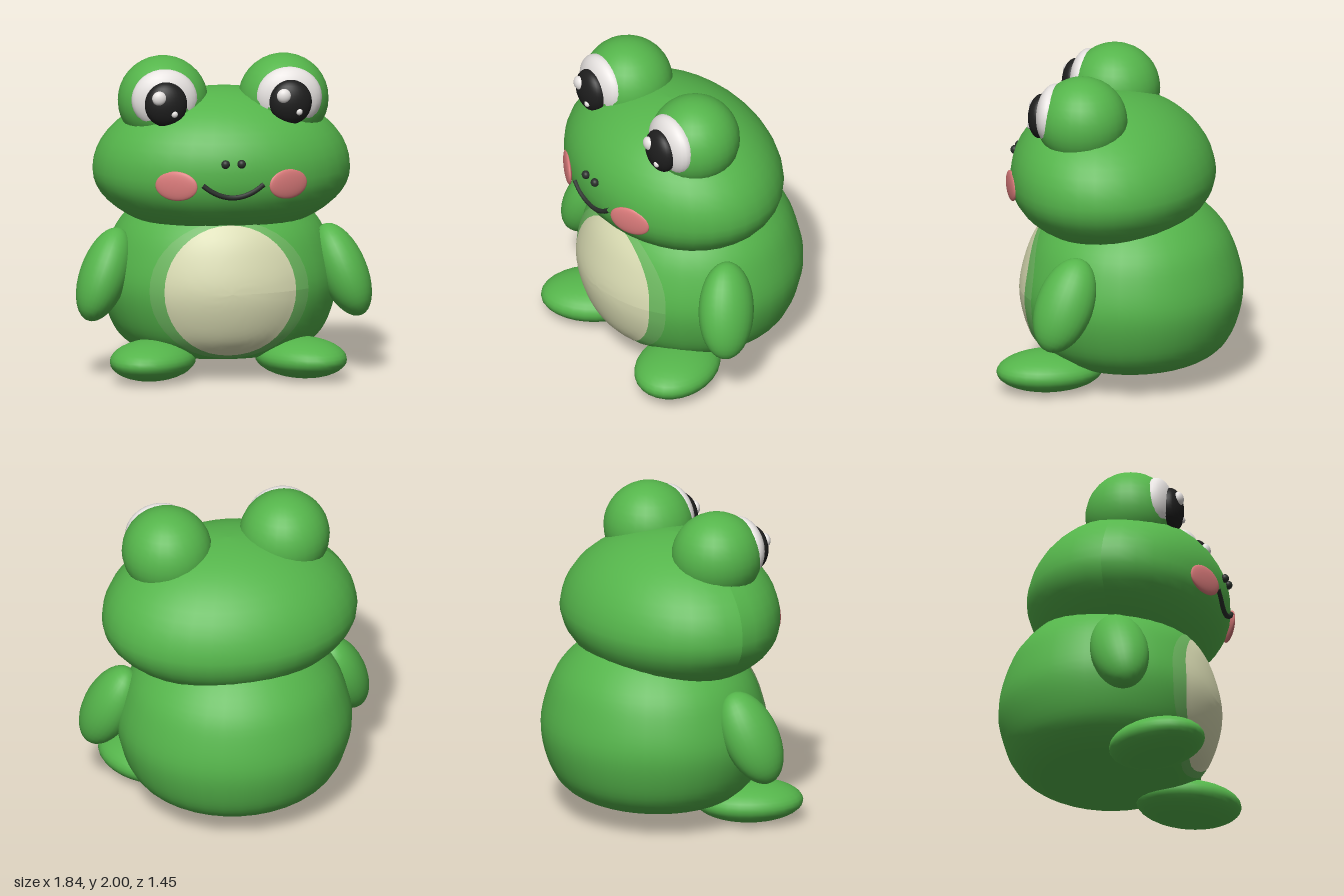
import * as THREE from 'three';

const mat = (name, color, side = THREE.FrontSide) => {
  const m = new THREE.MeshStandardMaterial({ color, side });
  m.name = name;
  return m;
};

export function createModel() {
  const green = mat('skin green', 0x55b54b);
  const paleGreen = mat('belly edge green', 0x6cb75f, THREE.DoubleSide);
  const cream = mat('belly cream', 0xd9dbb2, THREE.DoubleSide);
  const white = mat('eye white', 0xe6e2e0);
  const black = mat('pupil black', 0x1e1e1e);
  const dark = mat('mouth dark', 0x2a302b);
  const pink = mat('cheek pink', 0xdb7b7b);

  const model = new THREE.Group();
  const add = (name, geometry, material, parent = model) => {
    const mesh = new THREE.Mesh(geometry, material);
    mesh.name = name;
    parent.add(mesh);
    return mesh;
  };
  const ball = new THREE.SphereGeometry(1, 28, 18);
  const ellipsoid = (name, material, [x, y, z], [rx, ry, rz]) => {
    const mesh = add(name, ball, material);
    mesh.position.set(x, y, z);
    mesh.scale.set(rx, ry, rz);
    return mesh;
  };

  // Body: rounded pear, slightly flattened front to back
  const BODY_Z = -0.035, BODY_DEPTH = 0.94;
  const profile = new THREE.SplineCurve([
    [0, 0.11], [0.3, 0.112], [0.475, 0.135], [0.61, 0.22], [0.69, 0.365], [0.73, 0.565],
    [0.69, 0.77], [0.61, 0.94], [0.45, 1.1], [0.25, 1.2], [0, 1.23],
  ].map(([r, y]) => new THREE.Vector2(r, y))).getPoints(40);
  profile.forEach((p) => { p.x = Math.max(p.x, 0); });
  profile[0].x = profile[profile.length - 1].x = 0;
  const body = add('body', new THREE.LatheGeometry(profile, 36), green);
  body.scale.z = BODY_DEPTH;
  body.position.z = BODY_Z;

  const bodyRadius = (y) => {
    for (let i = 1; i < profile.length; i++) {
      const a = profile[i - 1], b = profile[i];
      if (y <= b.y && b.y > a.y) return a.x + (b.x - a.x) * Math.max(0, (y - a.y) / (b.y - a.y));
    }
    return 0;
  };

  // Belly patches: rings of an ellipse wrapped onto the front of the body
  const bellyPatch = (name, material, inner, outer, cy, offset) => {
    const geo = new THREE.RingGeometry(0.001, 1, 40, 12);
    const pos = geo.attributes.position;
    for (let i = 0; i < pos.count; i++) {
      const px = pos.getX(i), py = pos.getY(i);
      const t = Math.hypot(px, py), c = px / t, s = py / t;
      const x = c * (inner[0] + (outer[0] - inner[0]) * t);
      const y = cy + s * (inner[1] + (outer[1] - inner[1]) * t);
      const r = bodyRadius(y);
      pos.setXYZ(i, x, y, Math.sqrt(Math.max(0, r * r - x * x)) * BODY_DEPTH + BODY_Z + offset);
    }
    geo.computeVertexNormals();
    add(name, geo, material);
  };
  bellyPatch('belly', cream, [0, 0], [0.41, 0.41], 0.575, 0.009);
  bellyPatch('bellyEdge', paleGreen, [0.4, 0.4], [0.495, 0.435], 0.575, 0.006);

  // Head: wide ellipsoid, taller above its middle and leaning forward there
  const HEAD = { y: 1.28, z: 0.085, rx: 0.8, rz: 0.62 };
  const headRy = (dy) => (dy > 0 ? 0.51 : 0.41);
  const headGeo = new THREE.SphereGeometry(1, 36, 26);
  const hp = headGeo.attributes.position;
  for (let i = 0; i < hp.count; i++) {
    const dy = hp.getY(i) * headRy(hp.getY(i));
    hp.setXYZ(i, hp.getX(i) * HEAD.rx, HEAD.y + dy,
      HEAD.z + hp.getZ(i) * HEAD.rz + 0.08 * Math.max(0, dy));
  }
  headGeo.computeVertexNormals();
  add('head', headGeo, green);
  const headFront = (x, y) => {
    const dy = y - HEAD.y;
    const k = 1 - (x / HEAD.rx) ** 2 - (dy / headRy(dy)) ** 2;
    return HEAD.z + HEAD.rz * Math.sqrt(Math.max(0, k)) + 0.08 * Math.max(0, dy);
  };

  for (const [side, s] of [['left', 1], ['right', -1]]) {
    // Eyes: dome, white lens, pupil and two glints
    ellipsoid(side + 'EyeDome', green, [s * 0.375, 1.722, 0.18], [0.28, 0.278, 0.28]);
    ellipsoid(side + 'EyeWhite', white, [s * 0.387, 1.755, 0.36], [0.206, 0.19, 0.1]);
    ellipsoid(side + 'Pupil', black, [s * 0.388, 1.738, 0.44], [0.132, 0.139, 0.077]);
    ellipsoid(side + 'Glint', white, [s * 0.388 - 0.048, 1.785, 0.497], [0.045, 0.045, 0.032]);
    ellipsoid(side + 'SmallGlint', white, [s * 0.388 + 0.046, 1.685, 0.502], [0.021, 0.021, 0.016]);

    // Face details
    ellipsoid(side + 'Nostril', dark, [s * 0.05, 1.4, 0.705], [0.027, 0.027, 0.025]);
    const cheek = ellipsoid(side + 'Cheek', pink, [s * 0.348, 1.26, headFront(0.348, 1.26)], [0.138, 0.092, 0.022]);
    cheek.rotation.y = s * 0.46;

    // Arms hang outward and forward
    const arm = ellipsoid(side + 'Arm', green, [s * 0.742, 0.64, 0.19], [0.15, 0.305, 0.18]);
    arm.quaternion.setFromUnitVectors(new THREE.Vector3(0, 1, 0),
      new THREE.Vector3(-s * 0.4, 1, -0.28).normalize());

    // Feet turn outward
    const foot = ellipsoid(side + 'Foot', green, [s * 0.46, 0.128, 0.365], [0.25, 0.125, 0.335]);
    foot.rotation.y = s * 0.55;
  }

  // Smile: a tube following the head surface
  const smile = [];
  for (let i = -4; i <= 4; i++) {
    const u = i / 4, x = 0.19 * u, y = 1.188 + 0.08 * u * u;
    smile.push(new THREE.Vector3(x, y, headFront(x, y) + 0.004));
  }
  add('mouth', new THREE.TubeGeometry(new THREE.CatmullRomCurve3(smile), 24, 0.016, 8), dark);

  return model;
}
